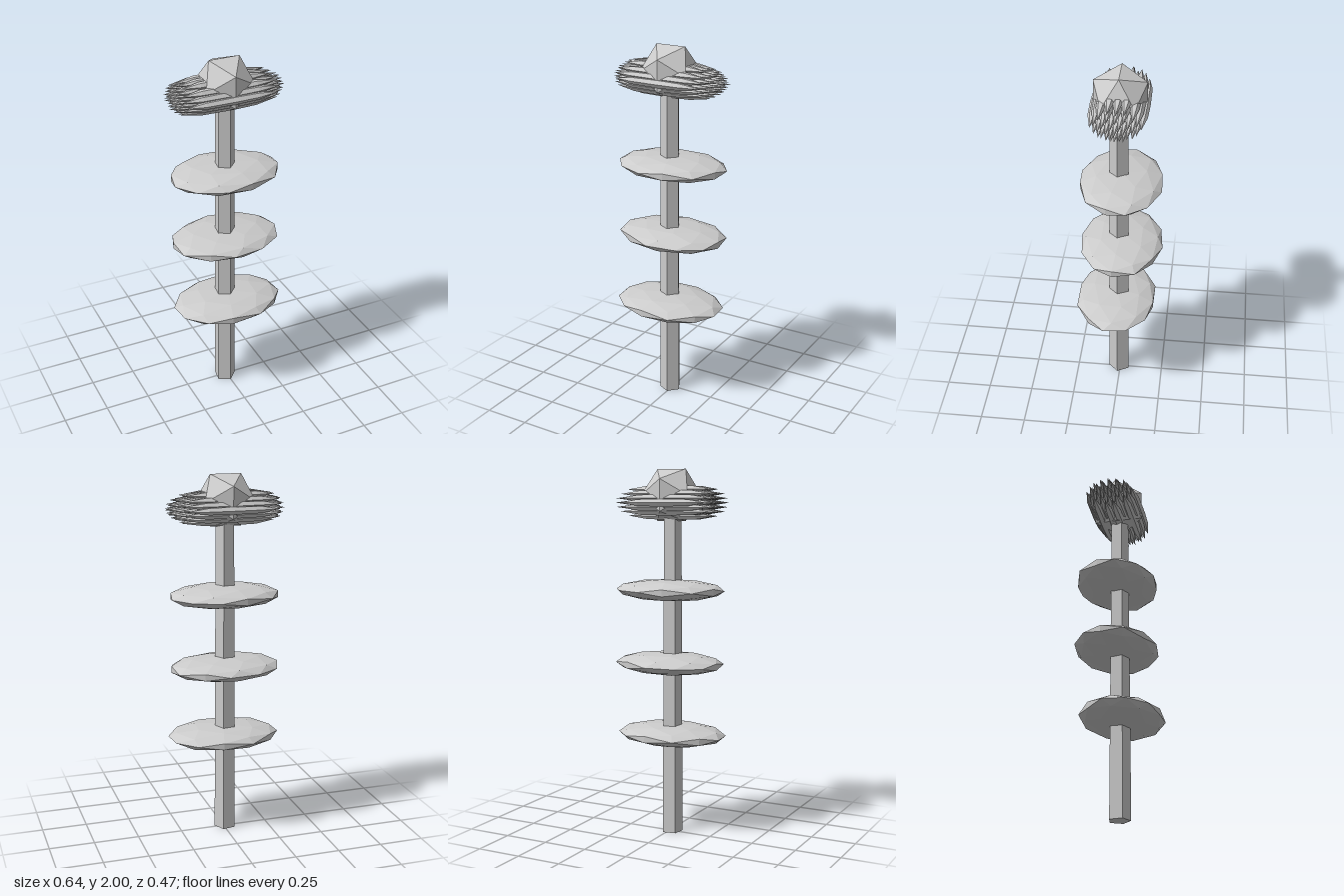
import * as THREE from 'three';

export function createModel() {
  const model = new THREE.Group();
  const material = new THREE.MeshStandardMaterial({ color: 0xcccccc, flatShading: true });
  const add = (geometry, name, parent = model) => {
    const mesh = new THREE.Mesh(geometry, material);
    mesh.name = name;
    parent.add(mesh);
    return mesh;
  };

  // Five-sided stem, slightly tapered
  const stem = add(new THREE.CylinderGeometry(0.052, 0.061, 1.8, 5), 'stem');
  stem.position.set(-0.011, 0.9, 0.004);
  stem.rotation.y = 0.17;

  // Three flattened faceted leaf discs, each turned differently
  [[0.553, 0.35, 0.02], [0.953, 2.0, -0.01], [1.353, 3.9, -0.007]].forEach(([y, yaw, z], i) => {
    const geometry = new THREE.IcosahedronGeometry(1, 1);
    geometry.rotateY(yaw);
    geometry.scale(0.312, 0.059, 0.228);
    add(geometry, 'leafDisc' + (i + 1)).position.set(-0.004, y, z);
  });

  // Flower head: staggered rows of spindle petals lying along x
  const flower = new THREE.Group();
  flower.name = 'flowerHead';
  flower.position.set(0, 1.822, 0);
  model.add(flower);

  const petalGeometry = (left, right, radius) => {
    const profile = [[0, -left], [radius, -left * 0.62], [radius * 1.15, 0], [radius, right * 0.5], [0, right]];
    const geometry = new THREE.LatheGeometry(profile.map(([r, x]) => new THREE.Vector2(r, x)), 6);
    geometry.rotateZ(-Math.PI / 2);
    geometry.scale(1, 0.85, 1);
    return geometry;
  };

  const rows = [2, 5, 6, 7, 6, 5, 3];
  rows.forEach((count, row) => {
    const y = (row - 3) * 0.0235;
    for (let i = 0; i < count; i++) {
      const z = (i - (count - 1) / 2) * 0.042;
      const edge = Math.min(1, (y / 0.085) ** 2 + (z / 0.15) ** 2);
      const left = 0.32 - 0.09 * edge ** 2;
      const right = 0.325 - 0.12 * edge;
      add(petalGeometry(left, right, 0.0235), 'petal', flower).position.set(0, y, z);
    }
  });

  // Faceted bud on top
  add(new THREE.IcosahedronGeometry(0.162, 0), 'bud').position.set(-0.011, 1.862, 0);

  return model;
}
